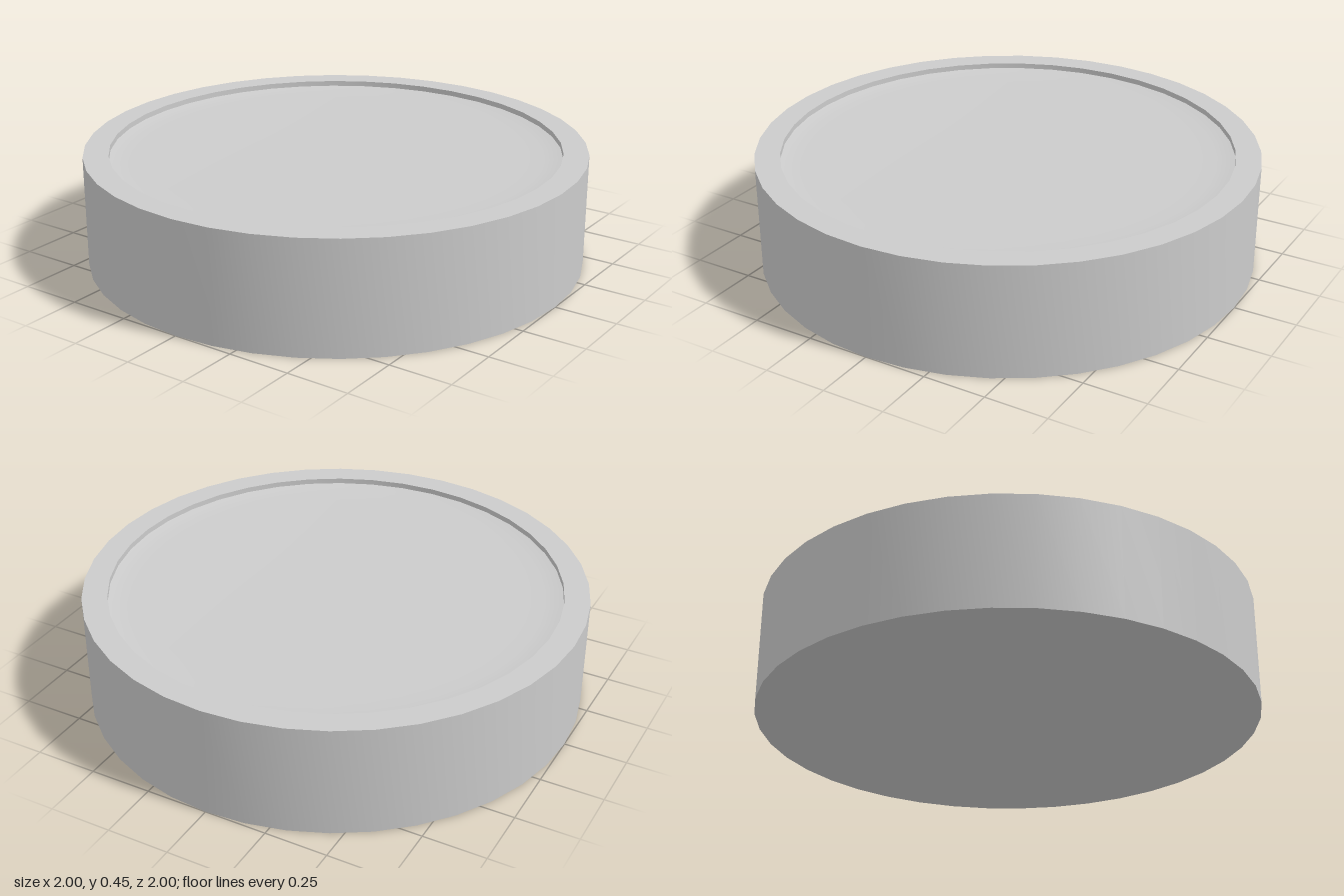
import * as THREE from 'three';
import { toCreasedNormals } from 'three/addons/utils/BufferGeometryUtils.js';

const SEGMENTS = 40;

export function createModel() {
  const group = new THREE.Group();
  group.name = 'shallowRoundDisc';
  const material = new THREE.MeshStandardMaterial({ color: 0xcccccc });

  // Revolve a [radius, height] profile, keeping its corners crisp
  const addLathe = (name, profile) => {
    const points = profile.map(([r, y]) => new THREE.Vector2(r, y));
    const geometry = toCreasedNormals(new THREE.LatheGeometry(points, SEGMENTS), 0.6);
    const mesh = new THREE.Mesh(geometry, material);
    mesh.name = name;
    group.add(mesh);
  };

  // Solid base, outer wall, flat rim and the short inner lip
  addLathe('bodyAndRim', [[0, 0], [1, 0], [1, 0.45], [0.9, 0.45], [0.9, 0.428]]);

  // Recessed floor, easing down gently from the lip
  addLathe('recessedFloor', [[0.9, 0.428], [0.87, 0.423], [0.83, 0.42], [0.76, 0.418], [0, 0.418]]);

  return group;
}
